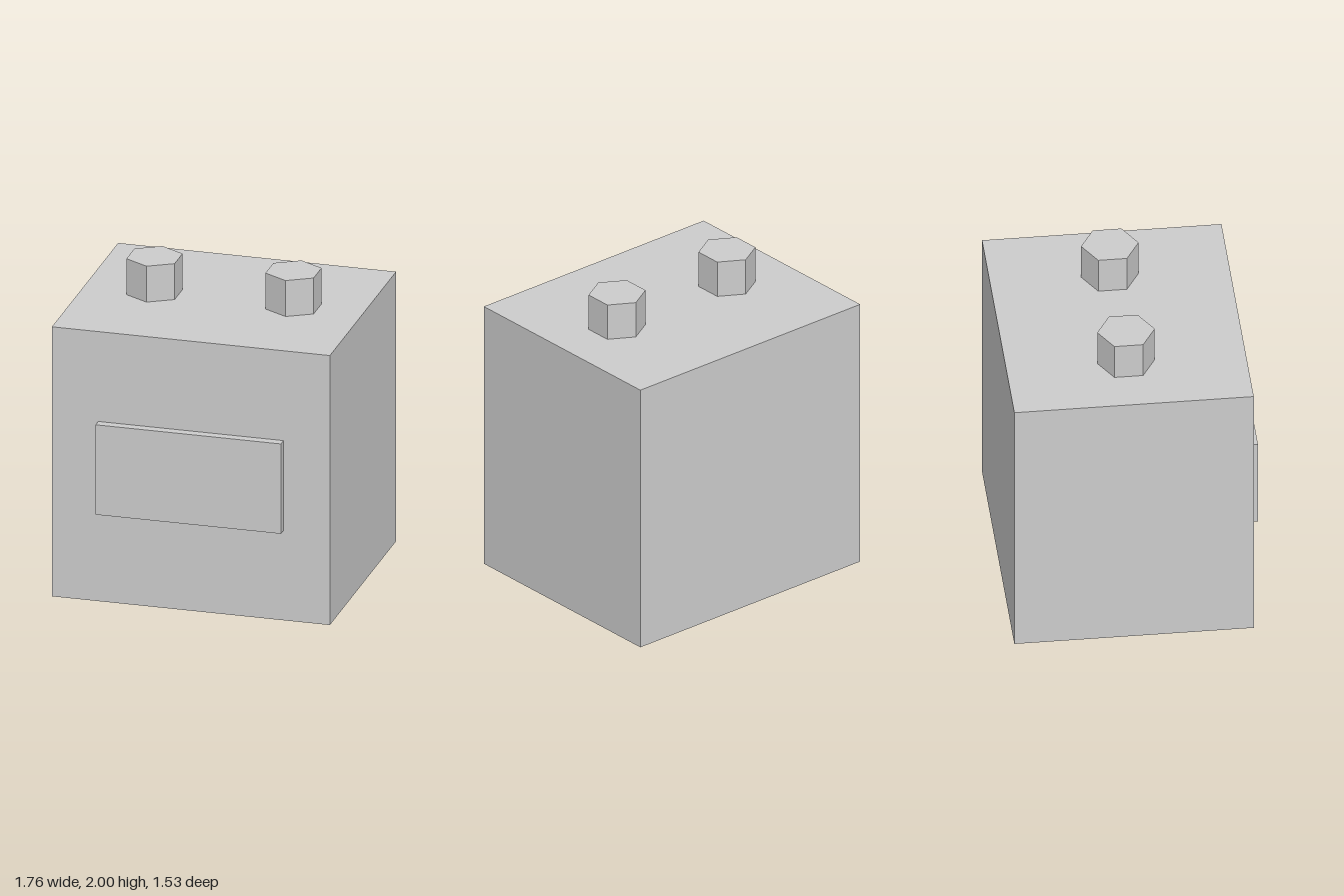
import * as THREE from 'three';

const U = 2 / 34; // design unit: the model is 34 units tall
const MID_Z = -0.5 * U; // body centre, offset so the front plate balances the depth

export function createModel() {
  const model = new THREE.Group();
  model.name = 'battery';
  const grey = new THREE.MeshStandardMaterial({ color: 0xcccccc, side: THREE.DoubleSide });
  grey.name = 'light grey';

  const add = (name, geometry, x, y, z) => {
    const mesh = new THREE.Mesh(geometry, grey);
    mesh.name = name;
    mesh.position.set(x, y, z);
    model.add(mesh);
  };

  // Thin-walled casing, open underneath: drop the box's bottom face (group 3)
  const casing = new THREE.BoxGeometry(30 * U, 30 * U, 25 * U);
  const bottom = casing.groups[3];
  casing.setIndex([...casing.index.array].filter(
    (_, i) => i < bottom.start || i >= bottom.start + bottom.count));
  casing.clearGroups();
  add('casing', casing, 0, 15 * U, MID_Z);

  // Raised plate on the front
  add('frontPlate', new THREE.BoxGeometry(20 * U, 10 * U, U), 0, 15 * U, MID_Z + 13 * U);

  // Hexagonal terminals on top, with flat-shaded sides
  for (const side of [-1, 1]) {
    const hex = new THREE.CylinderGeometry(3 * U, 3 * U, 4 * U, 6).toNonIndexed();
    hex.computeVertexNormals();
    add(side > 0 ? 'leftTerminal' : 'rightTerminal', hex, side * 7.5 * U, 32 * U, MID_Z);
  }

  return model;
}
